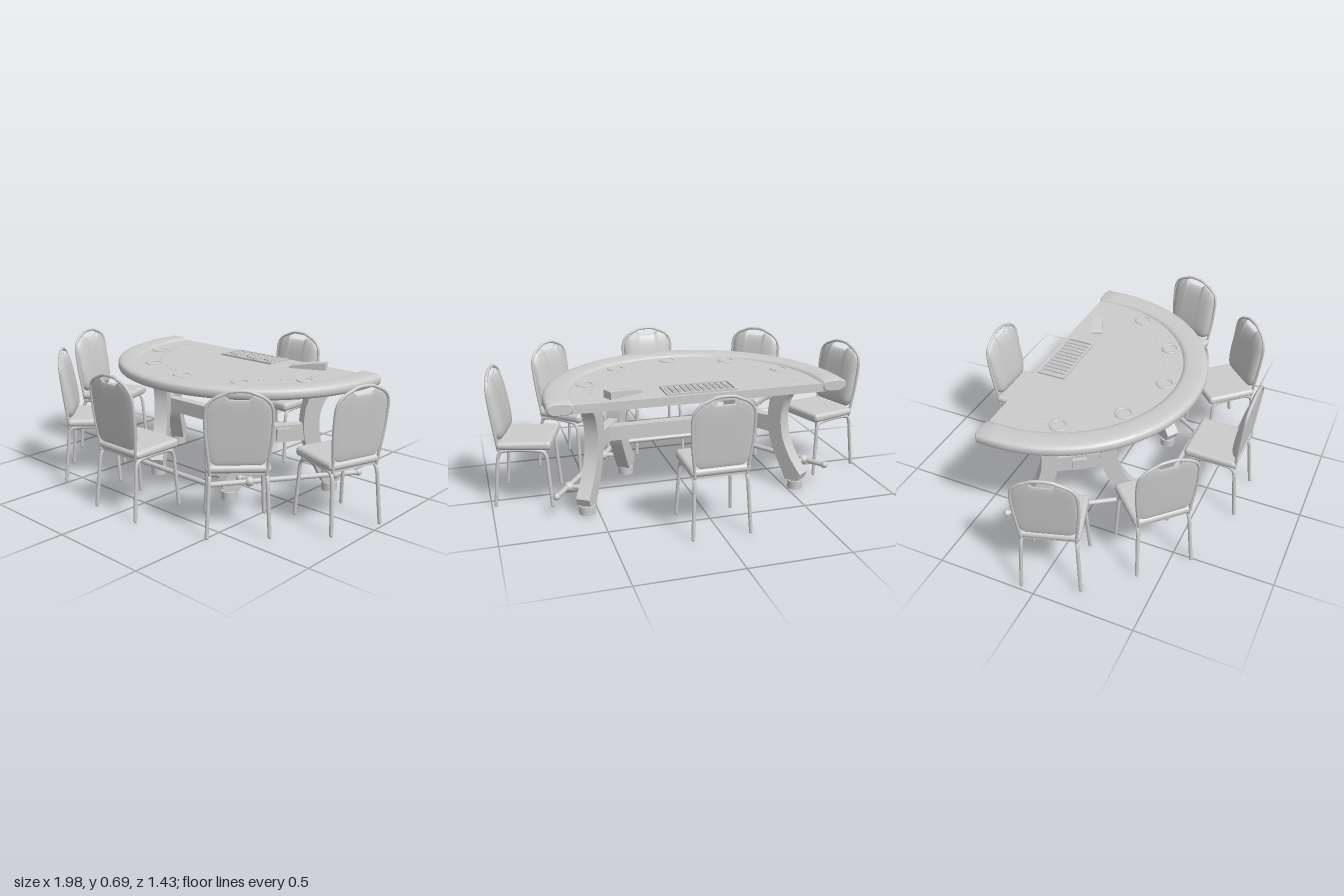
import * as THREE from 'three';
import { toCreasedNormals, mergeGeometries } from 'three/addons/utils/BufferGeometryUtils.js';
import { RoundedBoxGeometry } from 'three/addons/geometries/RoundedBoxGeometry.js';
import { ParametricGeometry } from 'three/addons/geometries/ParametricGeometry.js';

const mat = new THREE.MeshStandardMaterial({ color: 0xcccccc });
const V = (x, y, z) => new THREE.Vector3(x, y, z);

function add(parent, name, geometry, x = 0, y = 0, z = 0) {
  const mesh = new THREE.Mesh(geometry, mat);
  mesh.name = name;
  mesh.position.set(x, y, z);
  parent.add(mesh);
  return mesh;
}
function group(parent, name) {
  const g = new THREE.Group();
  g.name = name;
  parent.add(g);
  return g;
}
const box = (w, h, d) => new THREE.BoxGeometry(w, h, d);

// round bar along a smooth path, with ball ends
function bar(parent, name, points, r, segments = 48) {
  const curve = new THREE.CatmullRomCurve3(points, false, 'centripetal');
  add(parent, name, new THREE.TubeGeometry(curve, segments, r, 10));
  for (const p of [points[0], points[points.length - 1]])
    add(parent, name + 'End', new THREE.SphereGeometry(r, 10, 8), p.x, p.y, p.z);
}

// ---------- chair, facing +z ----------
const backPlane = y => -0.115 - 0.1 * (y - 0.32);

function cushionSide(front) {
  const edge = t => Math.sqrt(Math.max(0, 1 - Math.abs(2 * t - 1) ** 6));
  const ease = t => 0.5 - 0.5 * Math.cos(Math.PI * t);
  const topAt = x => {
    if (x < 0.045) return 0.643;
    if (x < 0.06) return THREE.MathUtils.lerp(0.643, 0.664, (x - 0.045) / 0.015);
    if (x < 0.1) return THREE.MathUtils.lerp(0.664, 0.646, (x - 0.06) / 0.04);
    return 0.646 - 0.046 * ((x - 0.1) / 0.04) ** 1.5;
  };
  return new ParametricGeometry((u, v, p) => {
    u = ease(front ? u : 1 - u);
    v = ease(v);
    const x = 0.14 * (2 * u - 1), a = Math.abs(x);
    const low = 0.34 + 0.035 * Math.max(0, (a - 0.1) / 0.04) ** 2;
    const y = THREE.MathUtils.lerp(low, topAt(Math.min(a, 0.14)), v);
    const narrow = 0.93 + 0.07 * Math.min(1, (y - 0.34) / 0.12);
    const bulge = edge(u) * edge(v) * (front ? 0.042 * (1 - 0.55 * v * v) : -0.006);
    p.set(x * narrow, y, backPlane(y) + bulge);
  }, 32, 24);
}

function chair(parent, name, x, z, outX, outZ) {
  const g = group(parent, name);
  g.position.set(x, 0, z);
  g.rotation.y = Math.atan2(-outX, -outZ);
  const seat = new RoundedBoxGeometry(0.29, 0.042, 0.27, 4, 0.019);
  const pos = seat.attributes.position;
  // gently crowned seat
  for (let i = 0; i < pos.count; i++) if (pos.getY(i) > 0) {
    const cx = pos.getX(i) / 0.145, cz = pos.getZ(i) / 0.135;
    pos.setY(i, pos.getY(i) + 0.004 * (1 - cx * cx) + 0.004 * cz);
  }
  add(g, 'seatCushion', seat, 0, 0.32, 0.014);
  add(g, 'seatPan', box(0.25, 0.014, 0.23), 0, 0.296, 0.008);
  add(g, 'backCushionFront', cushionSide(true));
  add(g, 'backCushionRear', cushionSide(false));

  // back frame hoop
  const half = [[0.125, 0.295], [0.131, 0.36], [0.142, 0.46], [0.146, 0.56], [0.143, 0.598],
    [0.132, 0.625], [0.105, 0.65], [0.065, 0.668], [0.04, 0.678]];
  const hoop = [...half.map(([a, b]) => V(-a, b, backPlane(b))),
    ...half.reverse().map(([a, b]) => V(a, b, backPlane(b)))];
  bar(g, 'backFrame', hoop, 0.0075, 80);

  // side legs bent from one tube
  for (const s of [-1, 1])
    bar(g, 'sideLegs', [V(s * 0.14, 0.008, 0.143), V(s * 0.131, 0.2, 0.129), V(s * 0.128, 0.26, 0.124),
      V(s * 0.126, 0.285, 0.112), V(s * 0.125, 0.293, 0.085), V(s * 0.125, 0.293, -0.075),
      V(s * 0.126, 0.285, -0.102), V(s * 0.128, 0.26, -0.114), V(s * 0.131, 0.2, -0.121),
      V(s * 0.14, 0.008, -0.14)], 0.009, 70);
  for (const cz of [-0.08, 0.09])
    bar(g, 'crossBar', [V(-0.125, 0.293, cz), V(0.125, 0.293, cz)], 0.007, 1);
}

// ---------- table ----------
const ARC_Z = -0.32, BACK_Z = -0.405;

function railGeometry() {
  const N = 86;
  const geo = new ParametricGeometry((u, v, p) => {
    const i = Math.round(u * N), k = Math.min(i, N - i), side = i < N / 2 ? 1 : -1;
    const scale = k === 0 ? 0 : k === 1 ? 0.82 : 1;
    const t = -2 * Math.PI * v, c = Math.cos(t), s = Math.sin(t);
    const r = 0.675 + 0.065 * scale * Math.sign(c) * Math.abs(c) ** 0.55;
    const y = 0.585 + 0.03 * scale * Math.sign(s) * Math.abs(s) ** 0.65;
    if (k < 3) p.set(side * r, y, BACK_Z + (k === 2 ? 0.004 : -0.006));
    else {
      const a = Math.PI * (i - 3) / (N - 6);
      p.set(r * Math.cos(a), y, ARC_Z + r * Math.sin(a));
    }
  }, N, 24);
  geo.deleteAttribute('normal');
  return toCreasedNormals(geo, 0.7);
}

function tableTop(t) {
  const outline = new THREE.Shape();
  outline.moveTo(0.69, BACK_Z);
  outline.lineTo(0.69, ARC_Z);
  outline.absarc(0, ARC_Z, 0.69, 0, Math.PI);
  outline.lineTo(-0.69, BACK_Z);
  const slab = new THREE.ExtrudeGeometry(outline, { depth: 0.042, bevelEnabled: false, curveSegments: 64 });
  add(t, 'tableTop', slab.rotateX(Math.PI / 2), 0, 0.6, 0);
  add(t, 'armRail', railGeometry());

  // cup rings
  for (const deg of [24, 57, 90, 123, 156]) {
    const a = deg * Math.PI / 180, x = 0.557 * Math.cos(a), z = ARC_Z + 0.557 * Math.sin(a);
    const ring = new THREE.TorusGeometry(0.039, 0.007, 8, 36).rotateX(Math.PI / 2).scale(1, 0.7, 1);
    add(t, 'cupRing', ring, x, 0.601, z);
    add(t, 'cupFloor', new THREE.CylinderGeometry(0.033, 0.033, 0.002, 32), x, 0.6, z);
  }
  // dotted arc
  const dots = [];
  for (let i = 0; i <= 76; i++) {
    const a = Math.PI * i / 76;
    dots.push(new THREE.CylinderGeometry(0.0035, 0.0035, 0.002, 6)
      .translate(0.51 * Math.cos(a), 0.6, ARC_Z + 0.51 * Math.sin(a)));
  }
  add(t, 'dottedArc', mergeGeometries(dots));

  // chip tray
  const tray = group(t, 'chipTray');
  tray.position.set(0, 0.6, -0.313);
  for (const s of [-1, 1]) {
    add(tray, 'trayLongEdge', box(0.35, 0.014, 0.01), 0, 0.002, s * 0.07);
    add(tray, 'traySideEdge', box(0.01, 0.014, 0.15), s * 0.17, 0.002, 0);
  }
  for (let i = 0; i < 11; i++) {
    const x = -0.15 + i * 0.03;
    if (i) add(tray, 'trayDivider', box(0.004, 0.012, 0.13), x - 0.015, 0.001, 0);
    const count = 7 + (i * 5) % 4;
    for (let j = 0; j < count; j++)
      add(tray, 'chip', new THREE.CylinderGeometry(0.011, 0.011, 0.0085, 14).rotateX(Math.PI / 2),
        x, -0.002, -0.058 + j * 0.0118);
  }
  // card box: a low wedge
  const wedge = new THREE.Shape([[-0.093, 0], [0.093, 0], [0.093, 0.037], [0.03, 0.032], [-0.07, 0.016], [-0.093, 0.008]]
    .map(([x, y]) => new THREE.Vector2(x, y)));
  const card = add(t, 'cardBox', new THREE.ExtrudeGeometry(wedge, { depth: 0.058, bevelEnabled: false })
    .translate(0, 0, -0.029), 0.365, 0.6, -0.31);
  card.rotation.y = 0.42;
}

// one pair of curved legs; the foot rail side is local z * out
function legFrame(t, side) {
  const g = group(t, side > 0 ? 'leftLegFrame' : 'rightLegFrame');
  const angle = Math.atan2(0.83, 0.55);
  g.position.set(side * 0.405, 0, -0.05);
  g.rotation.y = side > 0 ? angle : Math.PI - angle;
  const pts = l => l.map(([x, y]) => new THREE.Vector2(x, y));
  for (const s of [-1, 1]) {
    const leg = new THREE.Shape();
    leg.moveTo(0.255, 0.56);
    leg.lineTo(0.25, 0.53);
    leg.splineThru(pts([[0.205, 0.47], [0.185, 0.38], [0.2, 0.27], [0.25, 0.17], [0.315, 0.09]]));
    leg.lineTo(0.3, 0.052);
    leg.lineTo(0.225, 0.045);
    leg.splineThru(pts([[0.18, 0.13], [0.13, 0.23], [0.105, 0.34], [0.11, 0.44], [0.125, 0.5], [0.1, 0.56]]));
    const geo = toCreasedNormals(new THREE.ExtrudeGeometry(leg,
      { depth: 0.07, bevelEnabled: false, curveSegments: 24 }).translate(0, 0, -0.035), 0.5);
    const mesh = add(g, s > 0 ? 'backLeg' : 'frontLeg', geo);
    if (s < 0) mesh.rotation.y = Math.PI;
    add(g, 'foot', new THREE.CylinderGeometry(0.04, 0.04, 0.042, 28), s * 0.265, 0.021, 0);
    add(g, 'footCollar', new THREE.CylinderGeometry(0.03, 0.03, 0.02, 24), s * 0.265, 0.048, 0);
    // foot rail bracket
    const bs = s > 0 ? 0.25 : -0.19;
    bar(g, 'railBracket', [V(s * 0.23, 0.12, 0), V(bs, 0.12, side * 0.1)], 0.012, 1);
    add(g, 'railJoint', new THREE.SphereGeometry(0.025, 20, 14), bs, 0.12, side * 0.1);
    add(g, 'bracketJoint', new THREE.SphereGeometry(0.02, 16, 12), s * 0.222, 0.12, side * 0.04);
  }
  add(g, 'sideStretcher', box(0.27, 0.085, 0.05), 0, 0.325, 0);
  add(g, 'stretcherBlock', box(0.07, 0.06, 0.02), 0, 0.325, side * 0.033);
}

export function createModel() {
  const model = new THREE.Group();
  model.name = 'cardTableWithChairs';

  const table = group(model, 'table');
  table.position.x = 0.005;
  tableTop(table);
  legFrame(table, 1);
  legFrame(table, -1);
  add(table, 'middleBeam', box(0.8, 0.075, 0.05), 0, 0.325, -0.05);
  // foot rail, bent at the two front corners
  const rail = [V(-0.7, 0.12, -0.305), V(-0.275, 0.12, 0.328), V(0.275, 0.12, 0.328), V(0.7, 0.12, -0.305)];
  for (let i = 0; i < 3; i++) bar(table, 'footRail', [rail[i], rail[i + 1]], 0.013, 1);
  for (const p of [rail[0], rail[3]])
    add(table, 'railCap', new THREE.SphereGeometry(0.018, 16, 12), p.x, p.y, p.z);

  chair(model, 'backChair', 0.007, -0.56, 0, -1);
  chair(model, 'frontChair', 0.005, 0.55, 0, 1);
  for (const s of [-1, 1]) {
    const label = s > 0 ? 'left' : 'right';
    chair(model, label + 'FrontChair', s * 0.51, 0.395, s * 0.7, 0.7);
    chair(model, label + 'SideChair', s * 0.805, 0.02, s * 0.955, 0.295);
  }
  return model;
}
